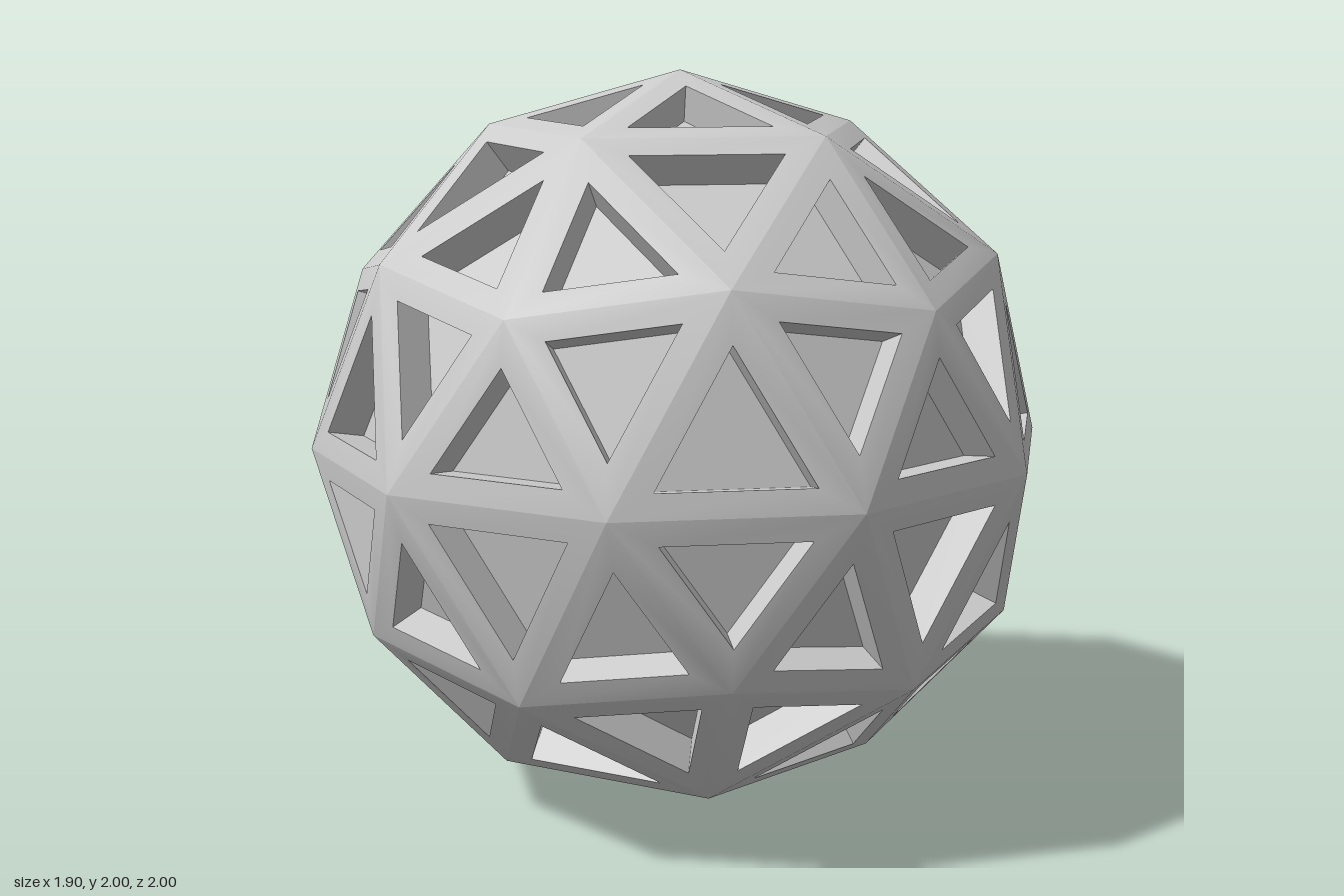
import * as THREE from 'three';
import { toCreasedNormals } from 'three/addons/utils/BufferGeometryUtils.js';

const INSET = 0.065; // width of the frame border inside each triangle
const DEPTH = 0.1; // how far each panel sits below the frame

// Twenty triangles of a unit icosahedron standing on one corner
function icosahedronFaces() {
  const ring = (k, y, offset) => {
    const a = (k * 72 + offset) * Math.PI / 180;
    return new THREE.Vector3(Math.cos(a) * 2, y, Math.sin(a) * 2).normalize();
  };
  const top = new THREE.Vector3(0, 1, 0), bottom = new THREE.Vector3(0, -1, 0);
  const faces = [];
  for (let k = 0; k < 5; k++) {
    const u0 = ring(k, 1, 0), u1 = ring(k + 1, 1, 0);
    const l0 = ring(k, -1, 36), l1 = ring(k + 1, -1, 36);
    faces.push([top, u0, u1], [u0, l0, u1], [u1, l0, l1], [bottom, l0, l1]);
  }
  return faces;
}

// Split a triangle in four, pushing the edge midpoints out to the sphere
function subdivide([a, b, c]) {
  const mid = (p, q) => p.clone().add(q).normalize();
  const ab = mid(a, b), bc = mid(b, c), ca = mid(c, a);
  return [[a, ab, ca], [ab, b, bc], [ca, bc, c], [ab, bc, ca]];
}

function faceNormal([a, b, c]) {
  return b.clone().sub(a).cross(c.clone().sub(a)).normalize();
}

// Shrink a triangle about its incentre so every side moves in by the same distance
function insetTriangle(tri, distance) {
  const [a, b, c] = tri;
  const la = b.distanceTo(c), lb = c.distanceTo(a), lc = a.distanceTo(b);
  const perimeter = la + lb + lc;
  const centre = new THREE.Vector3()
    .addScaledVector(a, la / perimeter)
    .addScaledVector(b, lb / perimeter)
    .addScaledVector(c, lc / perimeter);
  const area = b.clone().sub(a).cross(c.clone().sub(a)).length() / 2;
  const scale = 1 - distance * perimeter / (2 * area);
  return tri.map(p => centre.clone().lerp(p, scale));
}

function geometryFrom(points) {
  const geometry = new THREE.BufferGeometry().setFromPoints(points);
  geometry.computeVertexNormals();
  return geometry;
}

export function createModel() {
  const group = new THREE.Group();
  group.name = 'geodesicSphere';
  const material = new THREE.MeshStandardMaterial({ color: 0xcccccc });
  const framePoints = [], panelPoints = [];
  const quad = (a, b, c, d) => framePoints.push(a, b, c, a, c, d);

  for (const tri of icosahedronFaces().flatMap(subdivide)) {
    // Corners run anticlockwise seen from outside
    if (faceNormal(tri).dot(tri[0]) < 0) tri.reverse();
    const normal = faceNormal(tri);
    const rim = insetTriangle(tri, INSET);
    const floor = rim.map(p => p.clone().addScaledVector(normal, -DEPTH));
    for (let i = 0; i < 3; i++) {
      const j = (i + 1) % 3;
      quad(tri[i], tri[j], rim[j], rim[i]); // border strip
      quad(rim[i], rim[j], floor[j], floor[i]); // recess wall
    }
    panelPoints.push(...floor);
  }

  // Struts blend softly across the sphere, recess edges stay sharp
  const frame = new THREE.Mesh(toCreasedNormals(geometryFrom(framePoints), Math.PI / 6), material);
  frame.name = 'strutFrame';
  const panels = new THREE.Mesh(geometryFrom(panelPoints), material);
  panels.name = 'recessedPanels';
  for (const mesh of [frame, panels]) {
    mesh.position.y = 1;
    group.add(mesh);
  }
  return group;
}
